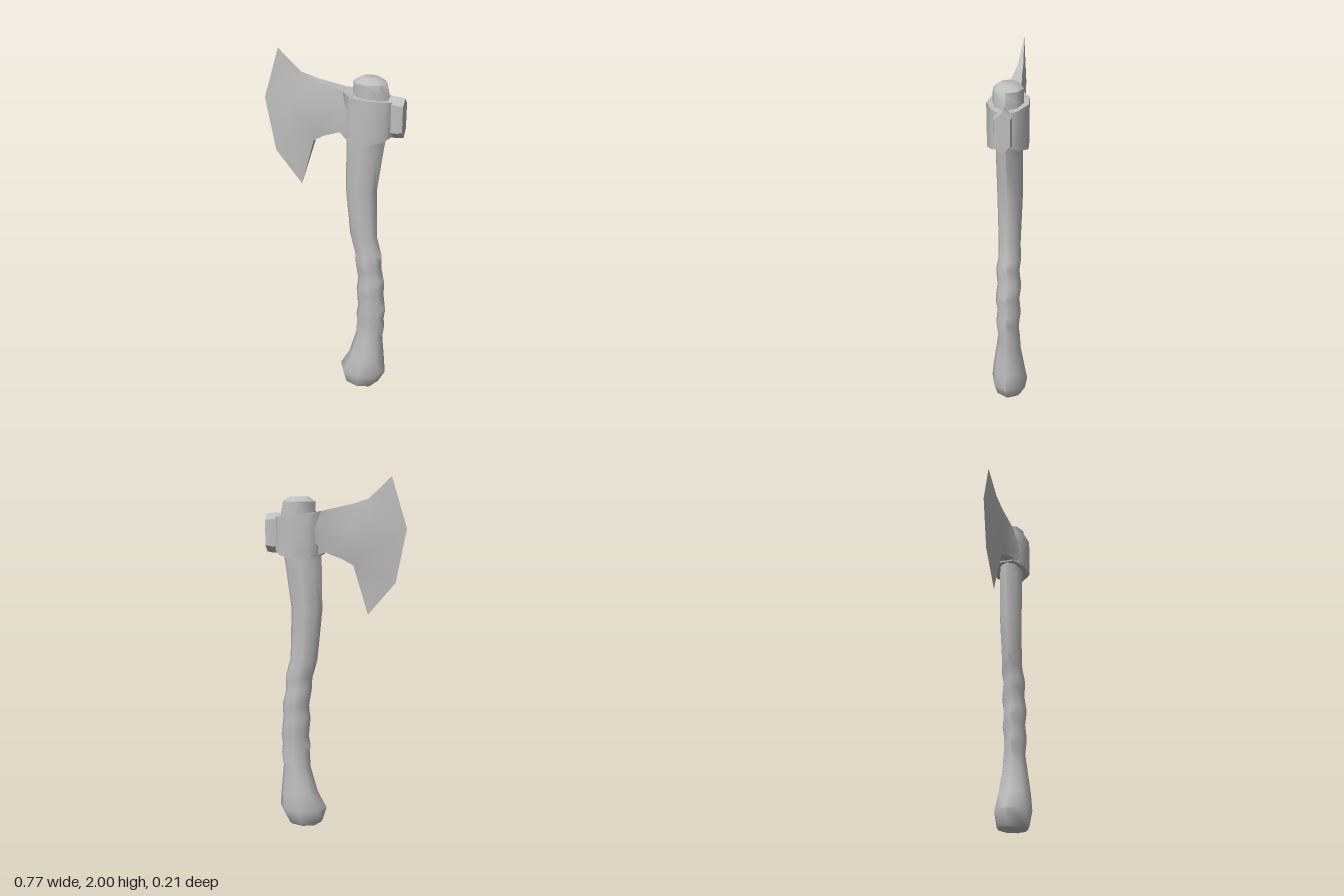
import * as THREE from 'three';
import { toCreasedNormals } from 'three/addons/utils/BufferGeometryUtils.js';

// Closed skin through equal-length rings of [x, y, z], with fan caps at both ends
function loft(rings, crease) {
  const n = rings[0].length, pos = rings.flat(2), index = [];
  rings.slice(1).forEach((_, k) => {
    for (let i = 0; i < n; i++) {
      const a = k * n + i, b = k * n + (i + 1) % n;
      index.push(a, b, b + n, a, b + n, a + n);
    }
  });
  [0, rings.length - 1].forEach((k) => {
    const c = pos.length / 3;
    for (let j = 0; j < 3; j++) pos.push(rings[k].reduce((s, p) => s + p[j], 0) / n);
    for (let i = 0; i < n; i++) {
      const a = k * n + i, b = k * n + (i + 1) % n;
      index.push(...(k === 0 ? [c, b, a] : [c, a, b]));
    }
  });
  // turn the faces outward if the rings ran the other way
  const v = (i) => new THREE.Vector3().fromArray(pos, i * 3);
  let volume = 0;
  for (let i = 0; i < index.length; i += 3) {
    volume += v(index[i]).dot(v(index[i + 1]).cross(v(index[i + 2])));
  }
  if (volume < 0) index.reverse();
  const geo = new THREE.BufferGeometry();
  geo.setAttribute('position', new THREE.Float32BufferAttribute(pos, 3));
  geo.setIndex(index);
  geo.computeVertexNormals();
  return toCreasedNormals(geo, crease);
}

// Half outline on +z, mirrored to a full ring
const mirrorZ = (half) => [...half, ...half.slice().reverse().map(([x, y, z]) => [x, y, -z])];

export function createModel() {
  const group = new THREE.Group();
  const grey = new THREE.MeshStandardMaterial({ color: 0xbebebe });
  grey.name = 'plain grey';
  const add = (name, geo) => {
    const mesh = new THREE.Mesh(geo, grey);
    mesh.name = name;
    group.add(mesh);
  };

  // Eight-sided ring in the ground plane; the spiral ripple marks the grip wrap
  const SIDES = 8;
  const roundRing = ([y, x0, x1, rz], ripple = 0) => Array.from({ length: SIDES }, (_, i) => {
    const a = (i / SIDES) * Math.PI * 2;
    const r = 1 + ripple * Math.sin((y / 0.17) * Math.PI * 2 + a);
    return [(x0 + x1) / 2 + Math.cos(a) * r * (x1 - x0) / 2, y, Math.sin(a) * r * rz];
  });

  // Handle: [y, left x, right x, half depth]
  const lower = [
    [0.005, 0.09, 0.28, 0.075], [0.02, 0.08, 0.295, 0.09], [0.1, 0.055, 0.335, 0.105],
    [0.2, 0.108, 0.327, 0.093], [0.35, 0.15, 0.312, 0.07],
  ];
  const grip = [
    [0.43, 0.155, 0.322, 0.063], [0.65, 0.153, 0.314, 0.067],
    [0.8, 0.148, 0.298, 0.066], [0.93, 0.122, 0.28, 0.062],
  ];
  const upper = [
    [1.0, 0.105, 0.262, 0.06], [1.28, 0.076, 0.252, 0.068],
    [1.5, 0.078, 0.28, 0.07], [1.6, 0.08, 0.295, 0.07],
  ];
  const rings = lower.map((s) => roundRing(s));
  grip.forEach((s, k) => {
    const next = grip[k + 1] || s, steps = grip[k + 1] ? 4 : 1;
    for (let i = 0; i < steps; i++) {
      rings.push(roundRing(s.map((v, j) => v + (next[j] - v) * i / steps), 0.07));
    }
  });
  rings.push(...upper.map((s) => roundRing(s)));
  add('handle', loft(rings, 1.0));

  // Handle end standing out of the top of the head
  add('handleTop', loft([
    [1.76, 0.11, 0.31, 0.078], [1.81, 0.11, 0.305, 0.078],
    [1.87, 0.112, 0.292, 0.076], [1.895, 0.15, 0.25, 0.045],
  ].map((s) => roundRing(s)), 0.8));

  // Collar around the handle: [x, z, bottom y, top y]
  const collar = [
    [0.07, 0.045, 1.585, 1.82], [0.13, 0.095, 1.57, 1.805], [0.23, 0.105, 1.57, 1.8],
    [0.3, 0.066, 1.585, 1.79], [0.33, 0.032, 1.605, 1.785],
  ];
  add('collar', loft([2, 3].map((k) => mirrorZ(collar.map((c) => [c[0], c[k], c[1]]))), 0.9));

  // Poll: six-sided block at the back of the head: [x, half depth, grow]
  add('poll', loft([[0.29, 0.034, -0.015], [0.318, 0.038, 0.002], [0.36, 0.044, 0], [0.385, 0.038, -0.005]]
    .map(([x, z, g]) => [
      [x, 1.808 + g, 0], [x, 1.775 + g, z], [x, 1.63 - g, z],
      [x, 1.593 - g, 0], [x, 1.63 - g, -z], [x, 1.775 + g, -z],
    ]), 0.7));

  // Blade: cheek columns from the collar out to the cutting edge, top to bottom
  add('blade', loft([
    [[0.13, 1.81, 0.08], [0.13, 1.73, 0.09], [0.13, 1.65, 0.09], [0.13, 1.575, 0.08]],
    [[0.065, 1.822, 0.042], [0.065, 1.74, 0.047], [0.065, 1.66, 0.047], [0.05, 1.6, 0.042]],
    [[-0.09, 1.856, 0.022], [-0.08, 1.75, 0.036], [-0.07, 1.64, 0.036], [-0.04, 1.565, 0.028]],
    [[-0.18, 1.885, 0.014], [-0.2, 1.75, 0.027], [-0.17, 1.6, 0.028], [-0.1, 1.53, 0.018]],
    [[-0.3, 2.0, 0], [-0.385, 1.73, 0], [-0.33, 1.44, 0], [-0.18, 1.26, 0]],
  ].map(mirrorZ), 1.0));

  return group;
}
